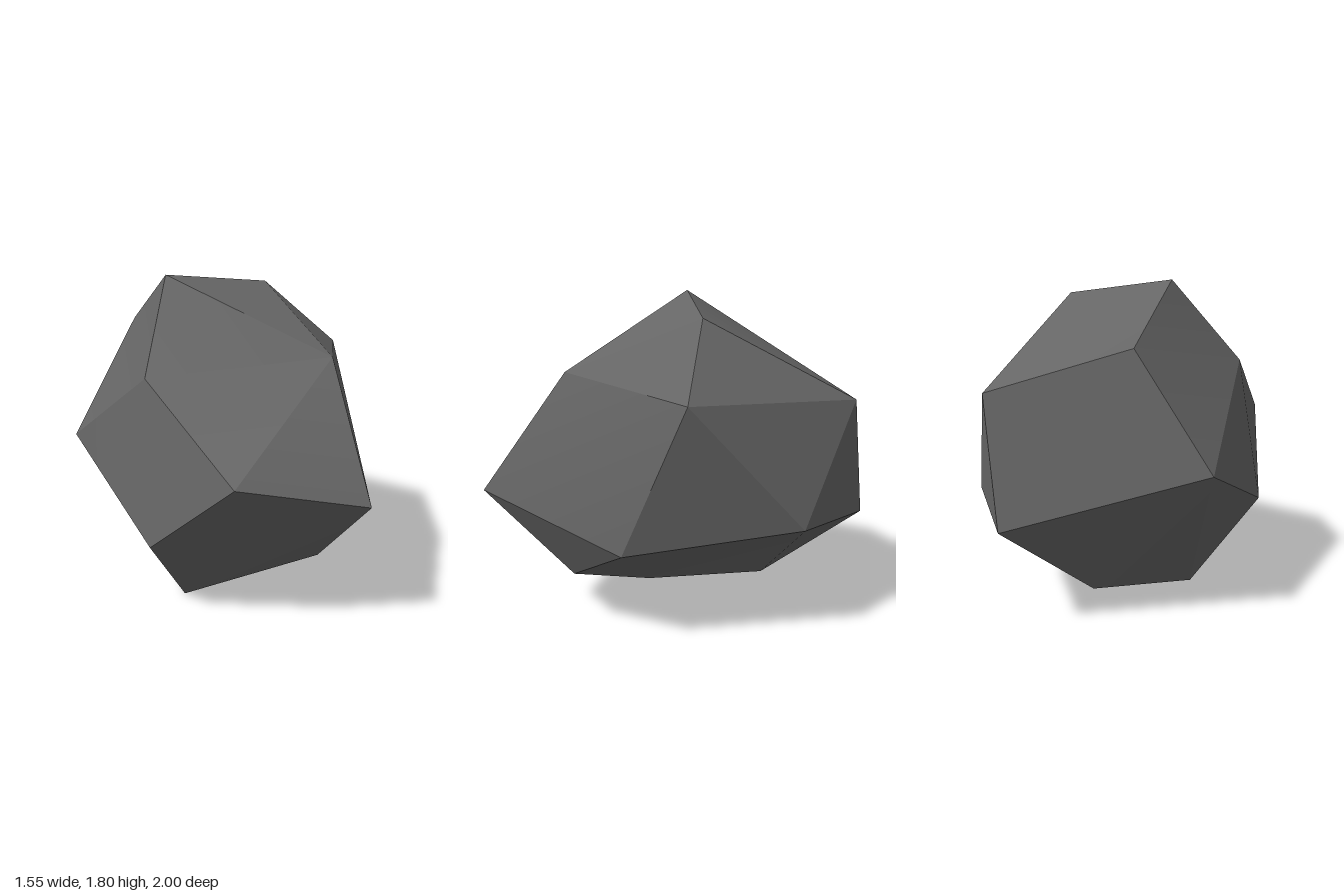
import * as THREE from 'three';
import { toCreasedNormals } from 'three/addons/utils/BufferGeometryUtils.js';

// Corners of the boulder, from crown to foot
const corners = {
  A: [-0.26, 1.80, 0.05], B: [0.33, 1.71, -0.17],
  C: [0.53, 1.44, 0.51], D: [0.755, 1.34, -0.19],
  E: [-0.40, 1.485, -0.35], F: [-0.42, 1.35, 0.43],
  G: [-0.775, 0.86, -0.15], H: [-0.07, 0.96, 1.00],
  I: [0.62, 0.80, 0.96], J: [0.775, 0.55, 0.15],
  K: [0.50, 0.31, 0.51], L: [-0.435, 0.50, 0.625],
  M: [-0.21, 0.00, 0.28], N: [0.06, 1.27, -0.95],
  O: [0.45, 0.65, -0.74], P: [-0.11, 0.59, -1.00],
  Q: [-0.16, 0.14, -0.43],
};

// Facets, each a loop of corners counter-clockwise from outside;
// the first corner is where the facet's folds meet
const facets = [
  'ACB', 'BCD', 'ABNE', 'BDN',        // crown
  'CAFHI', 'FGLH', 'IHLMK',           // front
  'IJDC', 'IKJ', 'DJO', 'DON',        // +x side
  'EGFA', 'ENPG', 'NOP',              // -x side and back
  'GPQML', 'OJKMQ', 'OQP',            // underside
];

// Fan each facet into triangles, then keep edges hard and gentle folds soft
function facetedGeometry() {
  const positions = [];
  for (const loop of facets) {
    for (let i = 1; i < loop.length - 1; i++) {
      for (const key of [loop[0], loop[i], loop[i + 1]]) positions.push(...corners[key]);
    }
  }
  const geometry = new THREE.BufferGeometry();
  geometry.setAttribute('position', new THREE.Float32BufferAttribute(positions, 3));
  return toCreasedNormals(geometry, THREE.MathUtils.degToRad(20));
}

export function createModel() {
  const stone = new THREE.MeshStandardMaterial({ color: 0x666666 });
  stone.name = 'grey stone';

  const boulder = new THREE.Mesh(facetedGeometry(), stone);
  boulder.name = 'boulder';

  const group = new THREE.Group();
  group.name = 'rock';
  group.add(boulder);
  return group;
}
